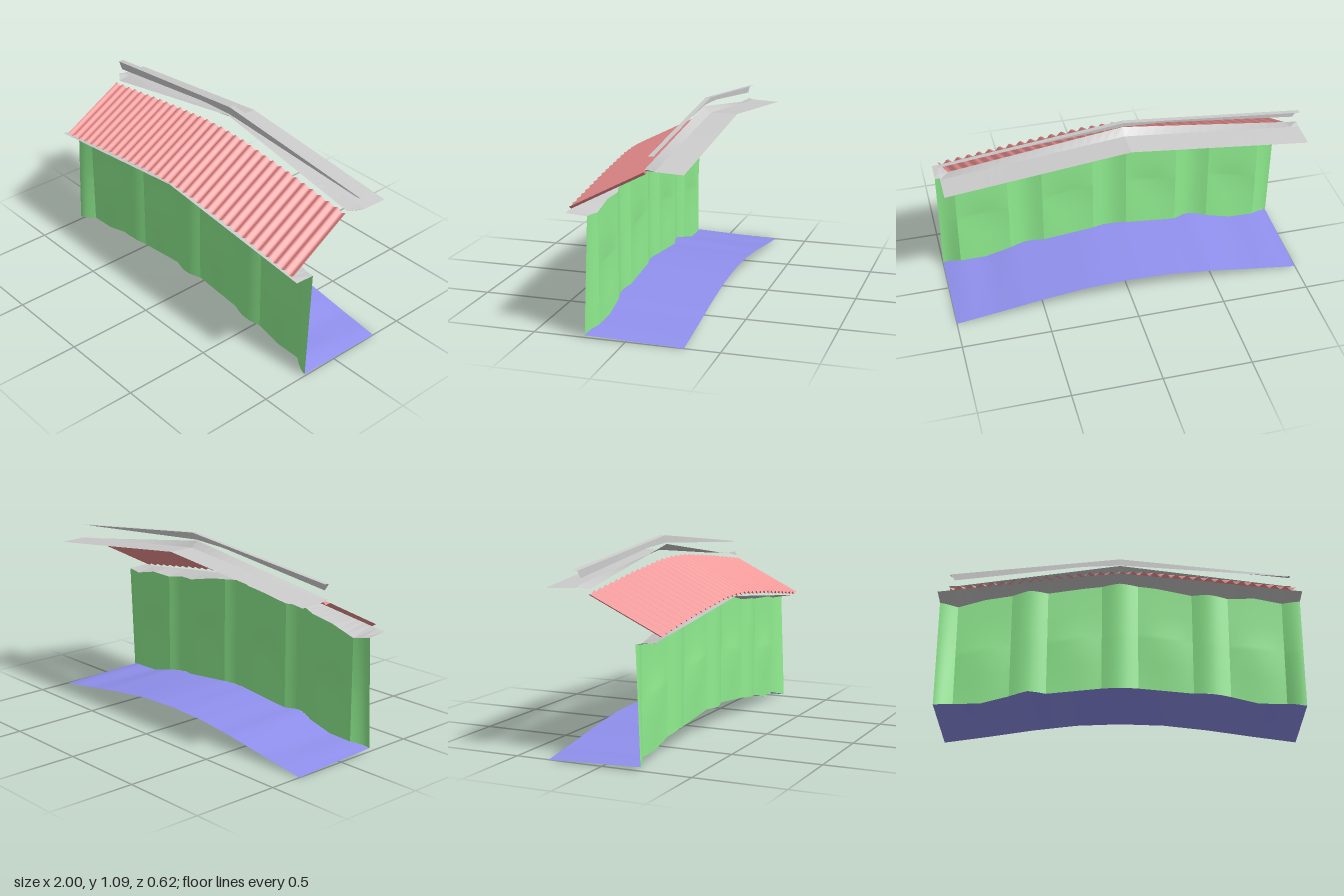
import * as THREE from 'three';

const material = (color, flat = false) =>
  new THREE.MeshStandardMaterial({ color, side: THREE.DoubleSide, flatShading: flat });
const grey = material(0xcccccc, true);
const green = material(0x90ee90);
const red = material(0xee9090);
const blue = material(0x9090ee);

// Straight interpolation through [x, value] pairs
function along(points, x) {
  let i = 1;
  while (i < points.length - 1 && x > points[i][0]) i++;
  const [x0, a] = points[i - 1], [x1, b] = points[i];
  return THREE.MathUtils.lerp(a, b, (x - x0) / (x1 - x0));
}

// Skin between rows of points; point(u, v) with u along x and v from row to row
function sheet(name, mat, cols, rows, point) {
  const pos = [], index = [];
  for (let j = 0; j <= rows; j++)
    for (let i = 0; i <= cols; i++) pos.push(...point(i / cols, j / rows, j));
  for (let j = 0; j < rows; j++)
    for (let i = 0; i < cols; i++) {
      const a = j * (cols + 1) + i, b = a + cols + 1;
      index.push(a, a + 1, b + 1, a, b + 1, b);
    }
  const geometry = new THREE.BufferGeometry();
  geometry.setAttribute('position', new THREE.Float32BufferAttribute(pos, 3));
  geometry.setIndex(index);
  geometry.computeVertexNormals();
  const mesh = new THREE.Mesh(geometry, mat);
  mesh.name = name;
  return mesh;
}

// Wavy lower and upper edges of the wall
const wallBottom = [[-1, 0.02], [-0.9, 0.04], [-0.75, 0.045], [-0.6, 0.085], [-0.5, 0.108], [-0.4, 0.1],
  [-0.1, 0.13], [0, 0.125], [0.1, 0.13], [0.4, 0.1], [0.6, 0.08], [0.75, 0.042], [0.9, 0.04], [1, 0.012]];
const wallTop = [[-1, 0.64], [-0.9, 0.62], [-0.75, 0.665], [-0.6, 0.69], [-0.5, 0.713], [-0.4, 0.705],
  [-0.2, 0.735], [0, 0.757], [0.1, 0.748], [0.2, 0.735], [0.4, 0.69], [0.5, 0.685], [0.6, 0.67],
  [0.75, 0.673], [0.9, 0.64], [1, 0.645]];
const floorBack = [[-1, 0], [-0.75, 0.035], [-0.5, 0.073], [-0.25, 0.102], [0, 0.111],
  [0.25, 0.102], [0.5, 0.073], [0.75, 0.035], [1, 0]];

// Depth of the wall: piers every half unit swell forward, the end ones most at the foot
function pierZ(x, v) {
  const d = Math.abs(x - Math.round(x * 2) / 2);
  const swell = d < 0.1 ? Math.cos(d * Math.PI / 0.2) : 0;
  return 0.177 + swell * (Math.abs(x) > 0.85 ? 0.043 - 0.025 * v : 0.02);
}

export function createModel() {
  const model = new THREE.Group();

  // Floor, its front edge following the foot of the wall
  model.add(sheet('floor', blue, 40, 1, (u, v) => {
    const x = 2 * u - 1;
    return v ? [x, along(floorBack, x), -0.31] : [x, along(wallBottom, x), pierZ(x, 0)];
  }));

  // Wall: piers and bays are separate skins so their joints stay sharp
  const wall = new THREE.Group();
  wall.name = 'wall';
  const joints = [-1, -0.9, -0.6, -0.4, -0.1, 0.1, 0.4, 0.6, 0.9, 1];
  const bayV = [0, 0.25, 0.48, 0.53, 0.75, 1];
  const bayDepth = [0, 0.006, 0.014, 0.004, 0, 0];
  for (let i = 0; i < joints.length - 1; i++) {
    const bay = i % 2 === 1;
    wall.add(sheet(bay ? 'wallBay' : 'wallPier', green, 10, 5, (u, _, j) => {
      const x = THREE.MathUtils.lerp(joints[i], joints[i + 1], u), v = bayV[j];
      const y = THREE.MathUtils.lerp(along(wallBottom, x), along(wallTop, x), v);
      const z = bay ? 0.177 + bayDepth[j] * Math.sin(Math.PI * u) : pierZ(x, v);
      return [x, y, z];
    }));
  }
  model.add(wall);

  // Eave board from the wall head to the front edge of the roof
  model.add(sheet('eave', grey, 40, 1, (u, v) => {
    const x = 2 * u - 1;
    return v ? [x, along(wallTop, x), pierZ(x, 1)] : [x, 0.764 - 0.112 * Math.abs(x), 0.308];
  }));

  // Corrugated sloping roof
  const roofDrop = [[-1, 0.105], [-0.5, 0.04], [-0.15, 0.004], [0, 0], [0.15, 0.004], [0.5, 0.04], [1, 0.105]];
  model.add(sheet('tiledRoof', red, 256, 1, (u, v) => {
    const x = THREE.MathUtils.lerp(-0.945, 0.97, u) - 0.027 * v;
    const wave = 0.009 * Math.cos(u * 32 * 2 * Math.PI);
    const y = (v ? 0.964 : 0.768) - along(roofDrop, x) + wave;
    return [x, y, (v ? -0.085 : 0.303) + wave * 0.3];
  }));

  // Ridge deck with an upturned flap along its front
  const flapY = [[-1, 0.906], [-0.95, 0.888], [0, 1.036], [0.95, 0.888], [1, 0.906]];
  const flapZ = [[-1, -0.123], [-0.95, -0.088], [0, -0.118], [0.95, -0.088], [1, -0.123]];
  model.add(sheet('ridgeDeck', grey, 40, 2, (u, v, j) => {
    const x = 2 * u - 1;
    if (j === 0) return [x, along(flapY, x), along(flapZ, x)];
    return [x, 1.003 - (j === 1 ? 0.106 : 0.112) * Math.abs(x), j === 1 ? -0.16 : -0.31];
  }));

  // Ridge cap: a folded strip tapering toward one end
  const capLow = [[-1, 0.945], [-0.23, 1.033], [0, 1.043], [1, 0.969]];
  const capTop = [[-1, 0.985], [0, 1.085], [1, 0.972]];
  model.add(sheet('ridgeCap', grey, 40, 2, (u, v, j) => {
    const x = 2 * u - 1;
    if (j === 0) return [THREE.MathUtils.lerp(-0.97, 0.97, u), along(capLow, x), -0.125];
    return [x, along(capTop, x) + (j === 2 ? 0.002 : 0), j === 1 ? -0.127 : -0.156];
  }));

  return model;
}
